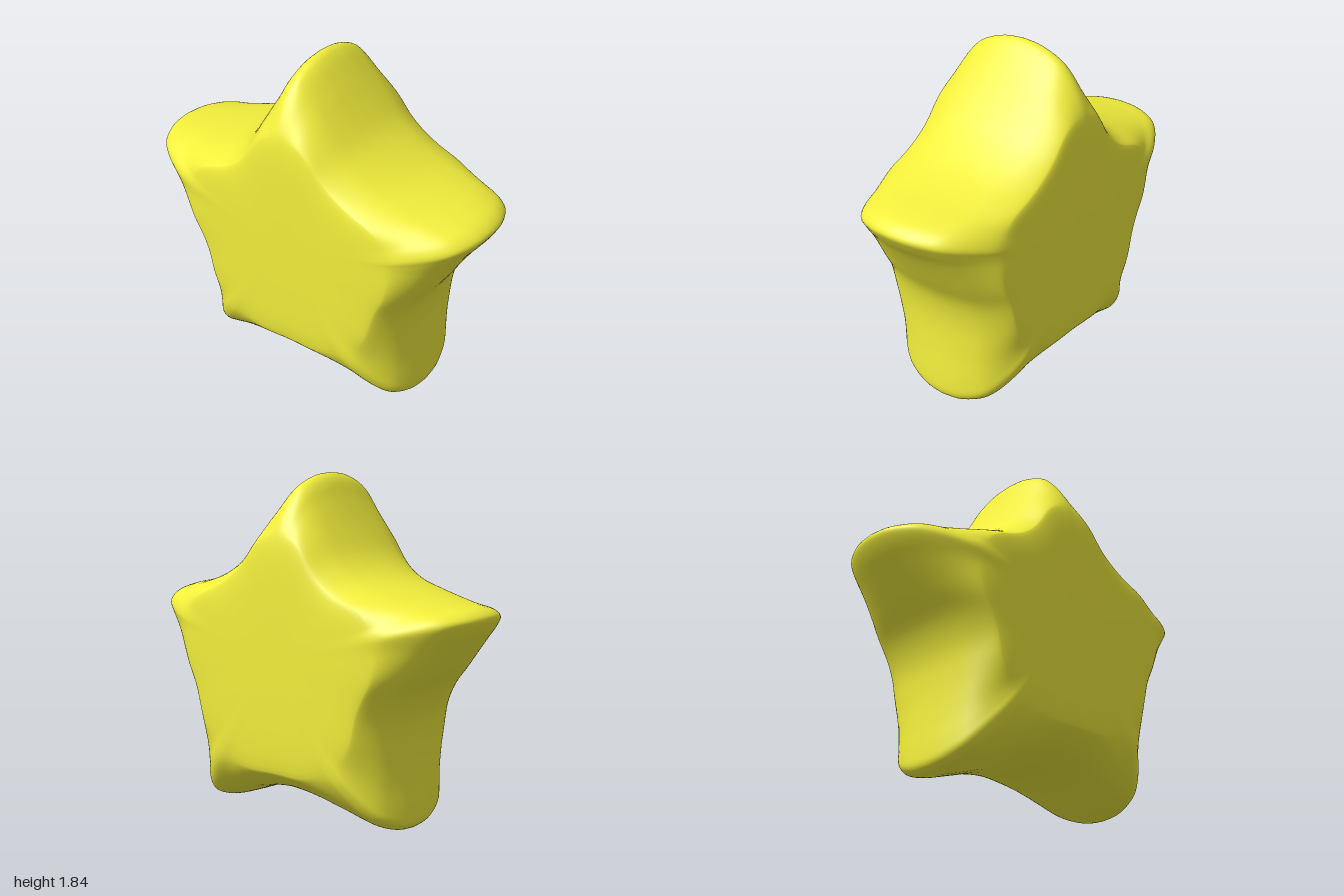
import * as THREE from 'three';

const CX = 0.02, CY = 0.88; // middle of the star

// Star outline, clockwise from the top tip
const OUTLINE = [
  [-0.03, 1.84], [0.01, 1.825], [0.1, 1.71], [0.2, 1.57], [0.3, 1.45], [0.42, 1.36], [0.55, 1.295],
  [0.7, 1.25], [0.87, 1.215], [0.96, 1.185], [1, 1.14], [0.975, 1.09], [0.9, 0.99], [0.78, 0.8],
  [0.7, 0.66], [0.666, 0.5], [0.665, 0.3], [0.675, 0.12], [0.67, 0.04], [0.64, 0.008], [0.57, 0.012],
  [0.45, 0.05], [0.25, 0.12], [0.04, 0.15], [-0.15, 0.125], [-0.35, 0.06], [-0.5, 0.012],
  [-0.565, 0.005], [-0.605, 0.035], [-0.61, 0.1], [-0.6, 0.25], [-0.595, 0.42], [-0.61, 0.58],
  [-0.67, 0.72], [-0.78, 0.85], [-0.9, 0.99], [-0.98, 1.09], [-1, 1.14], [-0.96, 1.175],
  [-0.83, 1.2], [-0.6, 1.25], [-0.42, 1.315], [-0.3, 1.41], [-0.2, 1.56], [-0.12, 1.71], [-0.07, 1.81],
];

// Rounded side profile: outline scale and depth, from face centre to the middle
const PROFILE = [
  [0, 0.436], [0.2, 0.436], [0.4, 0.434], [0.55, 0.43], [0.65, 0.418], [0.72, 0.395], [0.79, 0.36],
  [0.86, 0.315], [0.92, 0.26], [0.96, 0.19], [0.99, 0.1], [1, 0],
];

// Tips round off fully towards the faces, valleys only half as much
function ringScale(s, radius) {
  const k = 0.5 + 0.5 * THREE.MathUtils.smoothstep(radius, 0.68, 1.02);
  const edge = 0.65;
  return s > edge ? 1 - (1 - s) * k : (s / edge) * (1 - (1 - edge) * k);
}

function starGeometry() {
  const outline = new THREE.CatmullRomCurve3(
    OUTLINE.map(([x, y]) => new THREE.Vector3(x - CX, y - CY, 0)), true, 'centripetal'
  ).getPoints(184).slice(0, -1);
  const half = new THREE.SplineCurve(PROFILE.map(([s, z]) => new THREE.Vector2(s, z))).getPoints(33);
  const back = half.slice(0, -1).reverse().map((p) => new THREE.Vector2(p.x, -p.y));
  const rings = [...half, ...back];

  const positions = [], indices = [], n = outline.length;
  for (const ring of rings) {
    for (const p of outline) {
      const f = ringScale(Math.min(1, Math.max(0, ring.x)), p.length());
      positions.push(CX + p.x * f, CY + p.y * f, ring.y);
    }
  }
  for (let r = 0; r < rings.length - 1; r++) {
    for (let i = 0; i < n; i++) {
      const a = r * n + i, b = r * n + (i + 1) % n;
      indices.push(a, b, a + n, b, b + n, a + n);
    }
  }
  const geometry = new THREE.BufferGeometry();
  geometry.setAttribute('position', new THREE.Float32BufferAttribute(positions, 3));
  geometry.setIndex(indices);
  geometry.computeVertexNormals();
  return geometry;
}

export function createModel() {
  const group = new THREE.Group();
  group.name = 'star';
  const body = new THREE.Mesh(starGeometry(), new THREE.MeshStandardMaterial({ color: 0xf2ee3c }));
  body.name = 'starBody';
  group.add(body);
  return group;
}
